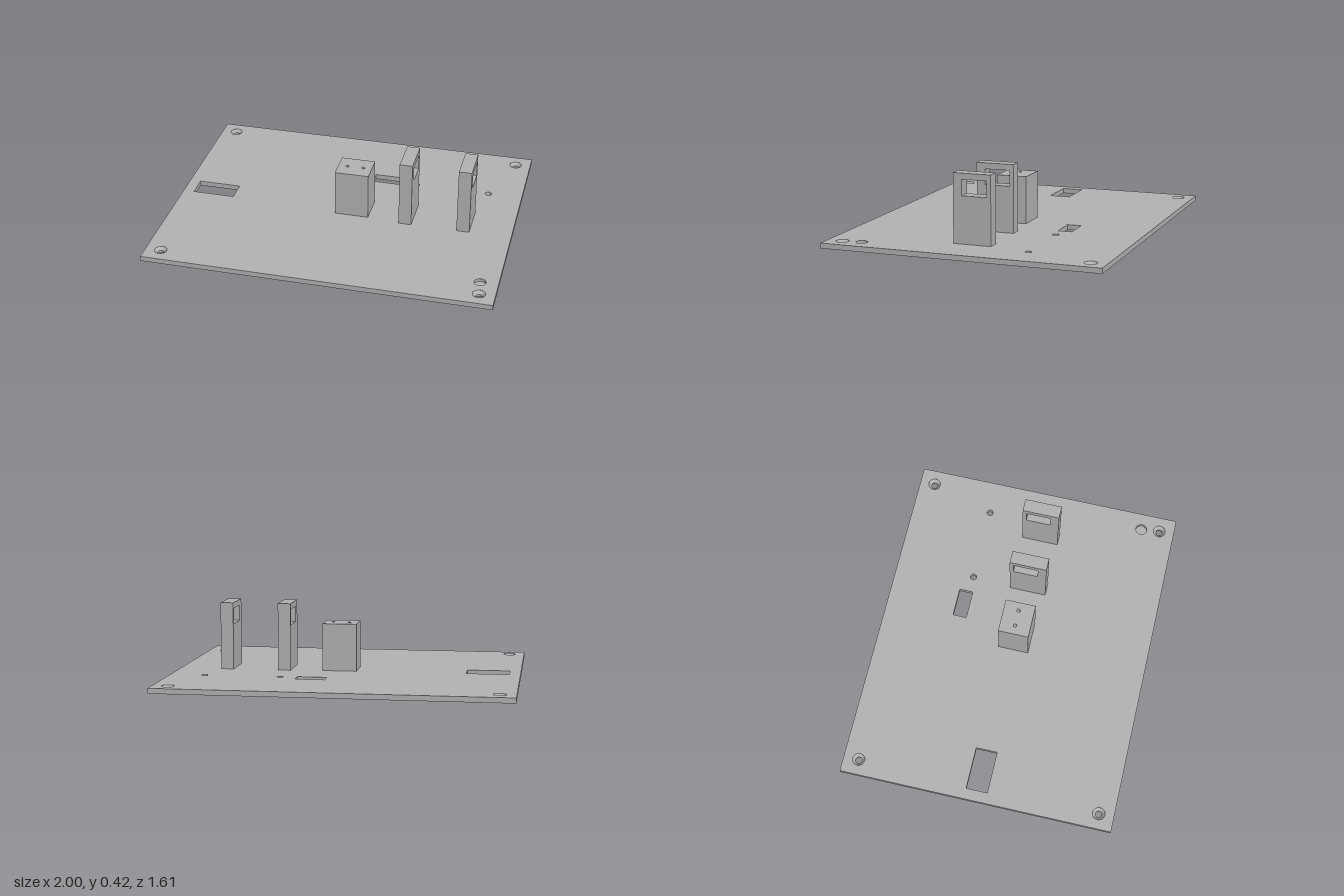
import * as THREE from 'three';
import { mergeGeometries, toCreasedNormals } from 'three/addons/utils/BufferGeometryUtils.js';

const SEG = 24;
const PLATE_TOP = 0.03;

// Rectangle on the ground plane; shape y is -z
function rect(x0, x1, z0, z1, Type = THREE.Path) {
  return new Type([[x0, -z1], [x1, -z1], [x1, -z0], [x0, -z0]].map(([x, y]) => new THREE.Vector2(x, y)));
}

function circle(x, z, r) {
  return new THREE.Path().absarc(x, -z, r, 0, Math.PI * 2, true);
}

function shapeWith(bounds, holes) {
  const shape = rect(...bounds, THREE.Shape);
  shape.holes.push(...holes);
  return shape;
}

// Inward-facing revolved wall of a bore; profile runs from top to bottom
function bore(x, z, profile) {
  const points = profile.map(([r, y]) => new THREE.Vector2(r, y));
  const geo = toCreasedNormals(new THREE.LatheGeometry(points, SEG), 0.5);
  return geo.translate(x, 0, z);
}

// Solid slab with straight cut-outs plus bores that differ at top and bottom
function slab(bounds, y0, y1, cuts, bores) {
  const mouths = (key) => bores.filter((b) => b[key]).map((b) => circle(b.x, b.z, b[key]));
  const top = new THREE.ShapeGeometry(shapeWith(bounds, [...cuts, ...mouths('topR')]), SEG);
  top.rotateX(-Math.PI / 2).translate(0, y1, 0);
  const bottom = new THREE.ShapeGeometry(shapeWith(bounds, [...cuts, ...mouths('bottomR')]), SEG);
  bottom.rotateX(-Math.PI / 2);
  // Flip the underside so that it faces down
  const index = bottom.index.array;
  for (let i = 0; i < index.length; i += 3) [index[i], index[i + 1]] = [index[i + 1], index[i]];
  const normal = bottom.attributes.normal;
  for (let i = 0; i < normal.count; i++) normal.setXYZ(i, 0, -1, 0);
  bottom.translate(0, y0, 0);

  // Keep only the side walls of the extrusion
  const extruded = new THREE.ExtrudeGeometry(shapeWith(bounds, cuts), {
    depth: y1 - y0, bevelEnabled: false, curveSegments: SEG,
  });
  const start = extruded.groups[1].start * 3;
  const sides = new THREE.BufferGeometry();
  sides.setAttribute('position', new THREE.BufferAttribute(extruded.attributes.position.array.slice(start), 3));
  sides.rotateX(-Math.PI / 2).translate(0, y0, 0);
  sides.computeVertexNormals();

  const parts = [top.toNonIndexed(), bottom.toNonIndexed(), sides, ...bores.map((b) => bore(b.x, b.z, b.profile))];
  parts.forEach((g) => g.deleteAttribute('uv'));
  return mergeGeometries(parts);
}

// Upright with a rectangular window through it along x
function postGeometry(width) {
  const shape = rect(-0.12, 0.1, -0.423, -PLATE_TOP, THREE.Shape);
  shape.holes.push(rect(-0.069, 0.077, -0.388, -0.298));
  return new THREE.ExtrudeGeometry(shape, { depth: width, bevelEnabled: false }).rotateY(Math.PI / 2);
}

export function createModel() {
  const group = new THREE.Group();
  const grey = new THREE.MeshStandardMaterial({ color: 0xb2b2b2 });
  grey.name = 'grey';
  const add = (name, geometry) => {
    const mesh = new THREE.Mesh(geometry, grey);
    mesh.name = name;
    group.add(mesh);
    return mesh;
  };

  // Base plate: slots, through holes, countersunk corners and a shallow pocket
  const cuts = [
    rect(-0.936, -0.687, -0.063, 0.062),
    rect(0.09, 0.26, -0.394, -0.313),
    circle(0.357, -0.332, 0.019),
    circle(0.798, -0.332, 0.019),
  ];
  const bores = [{
    x: 0.898, z: 0.604, topR: 0.033,
    profile: [[0.033, PLATE_TOP], [0.033, 0.012], [0, 0.012]],
  }];
  for (const x of [-0.91, 0.91]) {
    for (const z of [-0.715, 0.715]) {
      bores.push({
        x, z, topR: 0.036, bottomR: 0.019,
        profile: [[0.036, PLATE_TOP], [0.019, 0.013], [0.019, 0]],
      });
    }
  }
  add('basePlate', slab([-1, 1, -0.805, 0.805], 0, PLATE_TOP, cuts, bores));

  // Block with two small blind holes in its top
  const pins = [0.007, 0.102].map((x) => ({
    x, z: 0.009, topR: 0.01,
    profile: [[0.01, 0.307], [0.01, 0.207], [0, 0.207]],
  }));
  add('block', slab([-0.047, 0.152, -0.08, 0.1], PLATE_TOP, 0.307, [], pins));

  // Pair of windowed posts
  add('innerPost', postGeometry(0.075)).position.x = 0.339;
  add('outerPost', postGeometry(0.075)).position.x = 0.681;

  return group;
}
